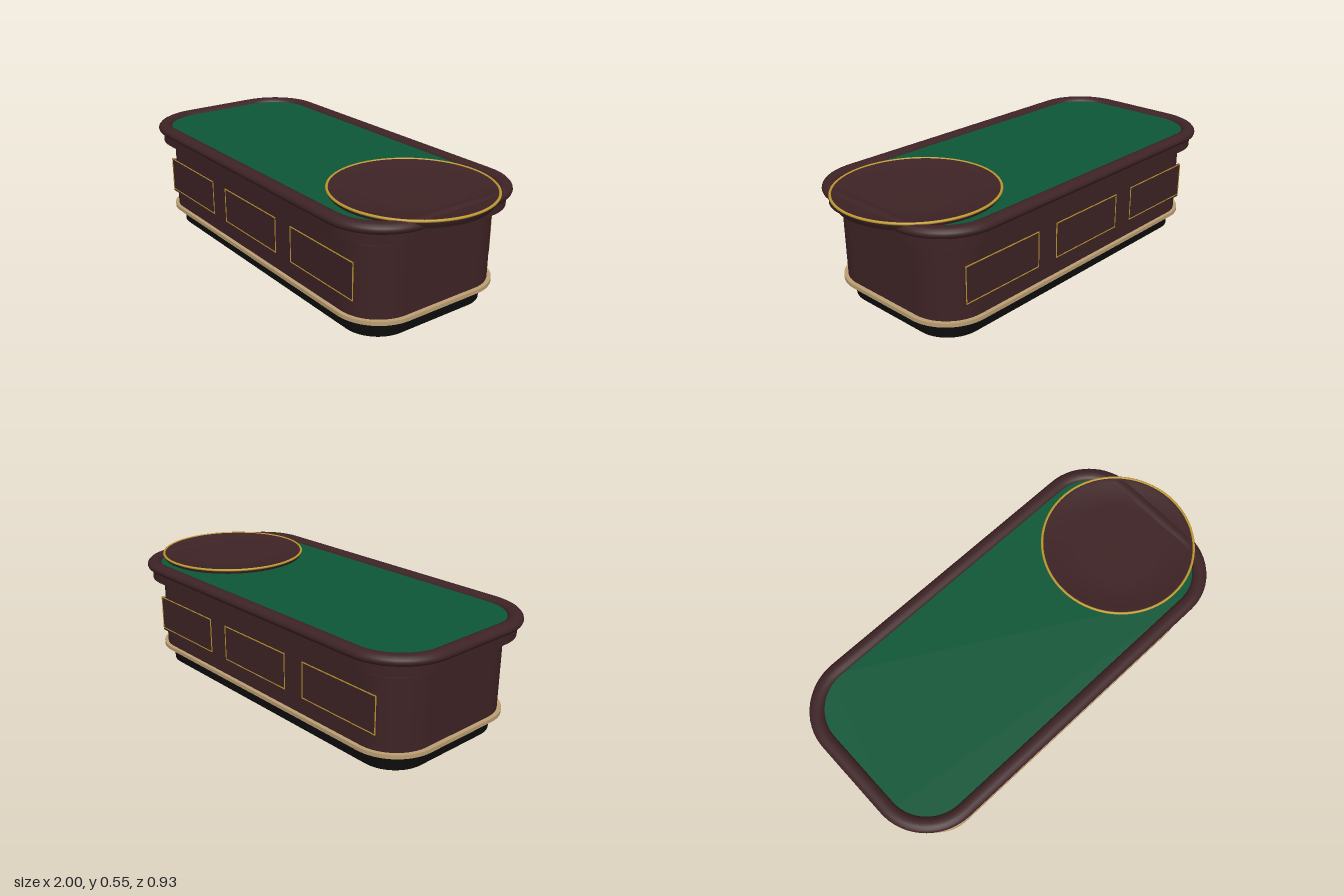
import * as THREE from 'three';
import { toCreasedNormals } from 'three/addons/utils/BufferGeometryUtils.js';

const mat = (name, color, side = THREE.FrontSide) => {
  const m = new THREE.MeshStandardMaterial({ color, side });
  m.name = name;
  return m;
};

// Rounded rectangle outline from half sizes and corner radius
function outline(hx, hz, r) {
  const s = new THREE.Shape();
  s.moveTo(-hx + r, -hz);
  s.lineTo(hx - r, -hz);
  s.absarc(hx - r, -hz + r, r, -Math.PI / 2, 0);
  s.lineTo(hx, hz - r);
  s.absarc(hx - r, hz - r, r, 0, Math.PI / 2);
  s.lineTo(-hx + r, hz);
  s.absarc(-hx + r, hz - r, r, Math.PI / 2, Math.PI);
  s.lineTo(-hx, -hz + r);
  s.absarc(-hx + r, -hz + r, r, Math.PI, Math.PI * 1.5);
  return s;
}

// Upright slab with rounded corners between two heights
function slabGeometry(hx, hz, r, y0, y1) {
  const g = new THREE.ExtrudeGeometry(outline(hx, hz, r), { depth: y1 - y0, bevelEnabled: false, curveSegments: 16 });
  g.rotateX(-Math.PI / 2);
  g.translate(0, y0, 0);
  return toCreasedNormals(g, 0.6);
}

export function createModel() {
  const wood = mat('dark wood', 0x3e2325);
  const bowlWood = mat('bowl wood', 0x3e2325, THREE.DoubleSide);
  const felt = mat('green felt', 0x0d5737);
  const gold = mat('gold', 0xbf9930);
  const brass = mat('pale brass', 0xbd9f74);
  const black = mat('black', 0x0c0c0c);

  const model = new THREE.Group();
  model.name = 'gamingTable';
  const table = new THREE.Group();
  table.name = 'table';
  table.position.x = -0.04;
  model.add(table);
  const add = (parent, name, geometry, material, x = 0, y = 0, z = 0) => {
    const mesh = new THREE.Mesh(geometry, material);
    mesh.name = name;
    mesh.position.set(x, y, z);
    parent.add(mesh);
    return mesh;
  };

  // Stacked body
  add(table, 'plinth', slabGeometry(0.85, 0.355, 0.16, 0, 0.08), black);
  add(table, 'baseTrim', slabGeometry(0.9, 0.405, 0.21, 0.08, 0.098), brass);
  add(table, 'body', slabGeometry(0.88, 0.387, 0.19, 0.098, 0.422), wood);
  add(table, 'apron', slabGeometry(0.935, 0.441, 0.245, 0.452, 0.5), wood);
  add(table, 'feltTop', slabGeometry(0.925, 0.43, 0.235, 0.5, 0.527), felt);

  // Padded rail: a flattened tube around the table edge
  const path = outline(0.925, 0.43, 0.235).getSpacedPoints(160).slice(0, -1)
    .map((p) => new THREE.Vector3(p.x, 0, p.y));
  const railGeometry = new THREE.TubeGeometry(new THREE.CatmullRomCurve3(path, true), 200, 0.035, 16, true);
  railGeometry.scale(1, 0.025 / 0.035, 1);
  add(table, 'rail', railGeometry, wood, 0, 0.52, 0);

  // Three framed panels on each long side
  const w = 0.44, h = 0.168, t = 0.004;
  for (const turn of [0, Math.PI]) {
    const side = new THREE.Group();
    side.name = turn ? 'backPanels' : 'frontPanels';
    side.rotation.y = turn;
    table.add(side);
    for (const x of [-0.555, 0, 0.555]) {
      add(side, 'panel', new THREE.BoxGeometry(w, 0.18, 0.012), wood, x, 0.257, 0.384);
      for (const s of [-1, 1]) {
        add(side, 'frameRail', new THREE.BoxGeometry(w, t, 0.003), gold, x, 0.263 + s * h / 2, 0.3905);
        add(side, 'frameStile', new THREE.BoxGeometry(t, h, 0.003), gold, x + s * (w - t) / 2, 0.263, 0.3905);
      }
    }
  }

  // Shallow round bowl overhanging the left end
  const wheel = new THREE.Group();
  wheel.name = 'wheelBowl';
  wheel.position.x = 0.635;
  model.add(wheel);
  const profile = [[0, 0.508], [0.345, 0.508], [0.35, 0.52], [0.36, 0.532], [0.362, 0.546],
    [0.352, 0.547], [0.335, 0.54], [0.2, 0.537], [0, 0.536]].map(([r, y]) => new THREE.Vector2(r, y));
  add(wheel, 'bowl', toCreasedNormals(new THREE.LatheGeometry(profile, 64), 0.6), bowlWood);
  const ring = add(wheel, 'bowlRim', new THREE.TorusGeometry(0.359, 0.006, 10, 72), gold, 0, 0.545, 0);
  ring.rotation.x = Math.PI / 2;

  return model;
}
